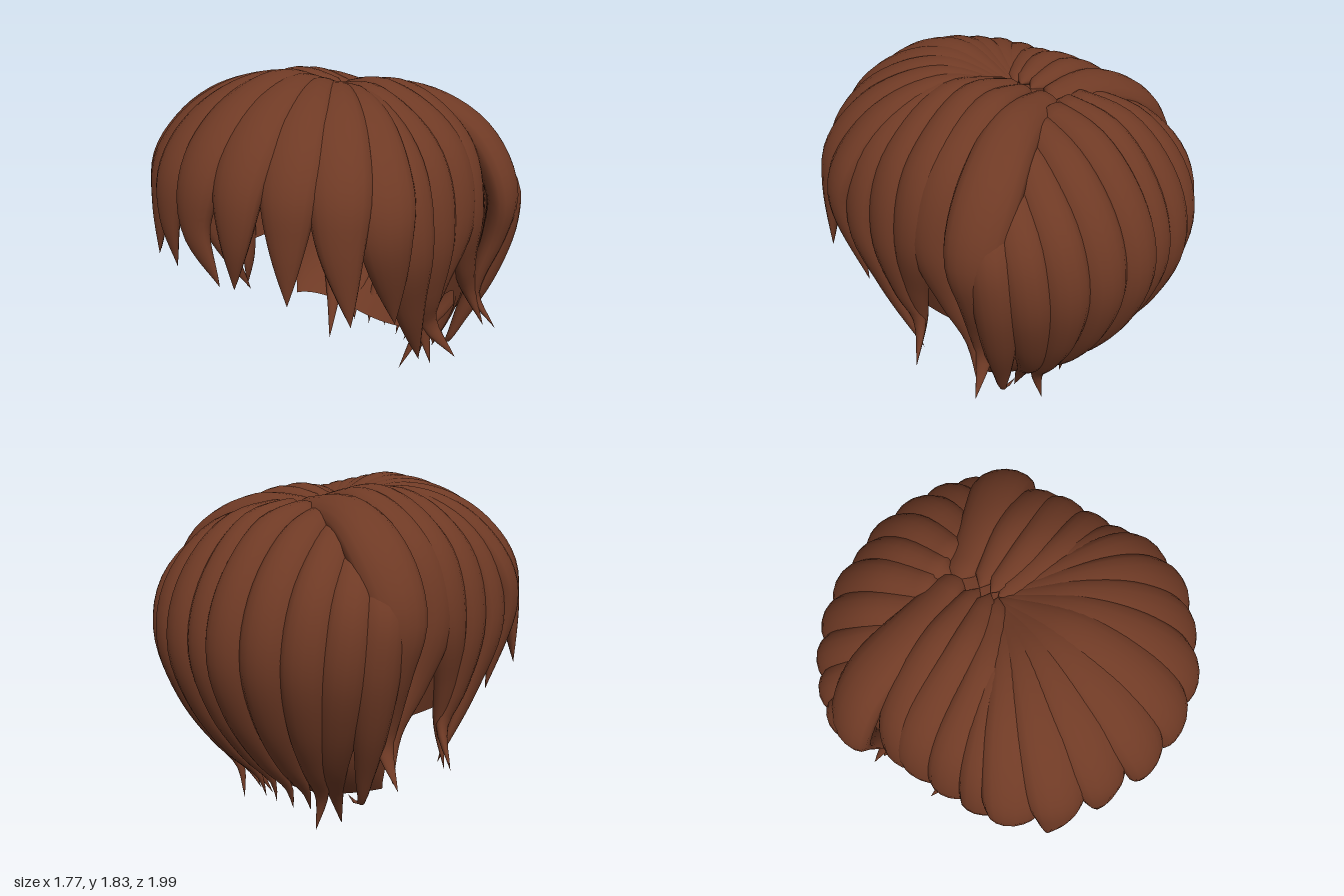
import * as THREE from 'three';

const V = (x, y, z) => new THREE.Vector3(x, y, z);
const { lerp, clamp, smoothstep, degToRad } = THREE.MathUtils;
const hair = new THREE.MeshStandardMaterial({ color: 0x6f3a25, side: THREE.DoubleSide });

// Grid of points (rows of equal length) turned into a smooth surface.
function gridGeometry(rows, cols, pointAt) {
  const pos = [], idx = [];
  for (let i = 0; i <= rows; i++) {
    for (let j = 0; j < cols; j++) pos.push(...pointAt(i, j).toArray());
  }
  for (let i = 0; i < rows; i++) {
    for (let j = 0; j < cols; j++) {
      const k = (j + 1) % cols;
      const a = i * cols + j, b = i * cols + k, c = a + cols, d = b + cols;
      idx.push(a, c, b, b, c, d);
    }
  }
  const g = new THREE.BufferGeometry();
  g.setAttribute('position', new THREE.Float32BufferAttribute(pos, 3));
  g.setIndex(idx);
  g.computeVertexNormals();
  return g;
}

// One lock: an oval section swept along a curve, swelling and then running to a point.
function lock(name, points, halfWidth, halfThick, root, peak) {
  const curve = new THREE.CatmullRomCurve3(points, false, 'centripetal');
  const rows = 32, cols = 16;
  const rings = [];
  for (let i = 0; i <= rows; i++) {
    const t = i / rows;
    const p = curve.getPointAt(t), tan = curve.getTangentAt(t);
    const out = V(p.x, (p.y - 1) * 0.6, p.z + 0.1);
    out.addScaledVector(tan, -out.dot(tan)).normalize();
    const side = new THREE.Vector3().crossVectors(out, tan);
    let f = t < peak
      ? root + (1 - root) * Math.sin((Math.PI / 2) * t / peak)
      : 1 - Math.pow((t - peak) / (1 - peak), 1.6);
    if (i === 0) f = 0;
    rings.push({ p, out, side, f });
  }
  const g = gridGeometry(rows, cols, (i, j) => {
    const { p, out, side, f } = rings[i];
    const a = (j / cols) * Math.PI * 2;
    return p.clone()
      .addScaledVector(side, Math.cos(a) * halfWidth * f)
      .addScaledVector(out, Math.sin(a) * halfThick * f);
  });
  const mesh = new THREE.Mesh(g, hair);
  mesh.name = name;
  return mesh;
}

// Scalp shell: a dome whose hem is high at the forehead, arched at the ears, low at the nape.
function scalp() {
  const rows = 36, cols = 120, top = 1.68;
  const g = gridGeometry(rows, cols, (i, j) => {
    const phi = (j / cols) * Math.PI * 2;
    const cos = Math.cos(phi);
    const deg = Math.abs(phi > Math.PI ? phi - Math.PI * 2 : phi) * 180 / Math.PI;
    const hem = 1.3 - 0.63 * smoothstep(deg, 48, 72) - 0.41 * smoothstep(deg, 95, 104)
      - 0.08 * smoothstep(deg, 104, 180);
    const y = top + (hem - top) * Math.pow(i / rows, 1.5);
    const dome = y > 1 ? Math.sqrt(Math.max(0, 1 - ((y - 1) / 0.68) ** 2)) : 1;
    const low = y < 1 ? (1 - y) / 0.8 : 0;
    const depth = cos > 0 ? 0.86 : 0.77 - 0.47 * Math.pow(low, 2.2);
    const width = 0.75 - 0.22 * Math.pow(low, 1.2);
    // the edge behind the ear curves back
    const ear = 0.1 * Math.sin(Math.PI * clamp((y - 0.25) / 0.42, 0, 1)) * Math.min(1, 1 + cos);
    return V(Math.sin(phi) * width * dome, y, -0.15 - ear + cos * depth * dome);
  });
  const mesh = new THREE.Mesh(g, hair);
  mesh.name = 'scalp';
  return mesh;
}

// Fringe lock fanning from the crown in the given direction to its tip.
function fringeLock(deg, reach, tip) {
  const a = degToRad(deg);
  const drop = 0.06 * Math.abs(deg) / 57;
  const at = (r, y) => V(Math.sin(a) * r * reach, y, Math.cos(a) * r * reach);
  return lock('fringeLock', [
    V(Math.sin(a) * 0.03, 1.67, -0.06), at(0.35, 1.77 - drop), at(0.7, 1.65 - drop),
    at(0.94, 1.41 - drop), at(1, 1.17), V(...tip),
  ], 0.15, 0.085, 0.2, 0.58);
}

// Back lock falling from behind the crown, bulging at depth and gathering at the nape.
function backLock(s, b, depth, tip, halfWidth) {
  const z = k => -0.32 + (depth + 0.32) * k;
  return lock('backLock', [
    V(s * b * 0.55, 1.65 - 0.25 * b * b, -0.3),
    V(s * b * 0.86, 1.56 - 0.38 * b * b, z(0.5)),
    V(s * b, 1.29 - 0.15 * b * b, z(0.88)),
    V(s * b, 1, z(1)),
    V(s * lerp(b, tip[0], 0.22), 0.7, z(0.87)),
    V(s * lerp(b, tip[0], 0.55), 0.42, z(0.6)),
    V(s * lerp(b, tip[0], 0.83), 0.22, lerp(z(0.36), tip[2], 0.3)),
    V(s * tip[0], tip[1], tip[2]),
  ], halfWidth, 0.09, 0.7, 0.42);
}

export function createModel() {
  const group = new THREE.Group();
  group.name = 'hair';
  group.add(scalp());

  // Fringe
  group.add(fringeLock(0, 0.935, [0.12, 0.9, 0.91]));
  const fringe = [
    [14.5, 0.935, [0.21, 0.91, 0.9]],
    [29.5, 0.91, [0.47, 0.88, 0.82]],
    [44.5, 0.91, [0.7, 0.79, 0.65]],
    [58, 0.875, [0.72, 0.7, 0.35]],
  ];

  // Side locks around the ears: path, half width
  const sides = [
    [[[0, 1.68, -0.03], [0.36, 1.67, 0.17], [0.65, 1.44, 0.28], [0.75, 1.1, 0.31], [0.71, 0.75, 0.22], [0.65, 0.35, 0.04]], 0.14],
    [[[0, 1.69, -0.06], [0.34, 1.69, 0.08], [0.66, 1.45, 0.11], [0.76, 1.1, 0.12], [0.72, 0.75, 0.08], [0.69, 0.57, 0.02], [0.81, 0.38, -0.06]], 0.13],
    [[[0, 1.69, -0.1], [0.31, 1.71, -0.05], [0.66, 1.47, -0.07], [0.76, 1.15, -0.06], [0.71, 0.8, 0.01], [0.67, 0.55, 0.03], [0.71, 0.34, 0.02]], 0.13],
    [[[0, 1.68, -0.16], [0.33, 1.69, -0.18], [0.65, 1.46, -0.19], [0.75, 1.15, -0.17], [0.71, 0.85, -0.25], [0.69, 0.62, -0.36], [0.75, 0.4, -0.43]], 0.13],
  ];

  // Broad lock sweeping over each side behind the ear
  const sweep = [[-0.03, 1.65, -0.28], [0.35, 1.63, -0.34], [0.63, 1.47, -0.42], [0.79, 1.2, -0.45],
    [0.76, 0.95, -0.46], [0.7, 0.7, -0.42], [0.69, 0.57, -0.42], [0.81, 0.39, -0.46]];

  // Back locks: side offset, bulge depth, tip, half width
  const back = [
    [0.17, -0.915, [0.11, 0.09, -0.48], 0.125],
    [0.36, -0.86, [0.2, 0.1, -0.44], 0.125],
    [0.53, -0.77, [0.29, 0.03, -0.49], 0.12],
    [0.66, -0.66, [0.28, 0, -0.29], 0.115],
    [0.75, -0.54, [0.47, 0.27, -0.44], 0.11],
  ];
  group.add(backLock(1, 0, -0.91, [0, 0.1, -0.5], 0.11));

  for (const s of [1, -1]) {
    const path = pts => pts.map(([x, y, z]) => V(s * x, y, z));
    for (const [deg, reach, [x, y, z]] of fringe) group.add(fringeLock(s * deg, reach, [s * x, y, z]));
    for (const [pts, w] of sides) group.add(lock('sideLock', path(pts), w, 0.085, 0.35, 0.5));
    group.add(lock('sweepingLock', path(sweep), 0.15, 0.09, 0.5, 0.42));
    for (const [b, depth, tip, w] of back) group.add(backLock(s, b, depth, tip, w));
  }
  return group;
}
